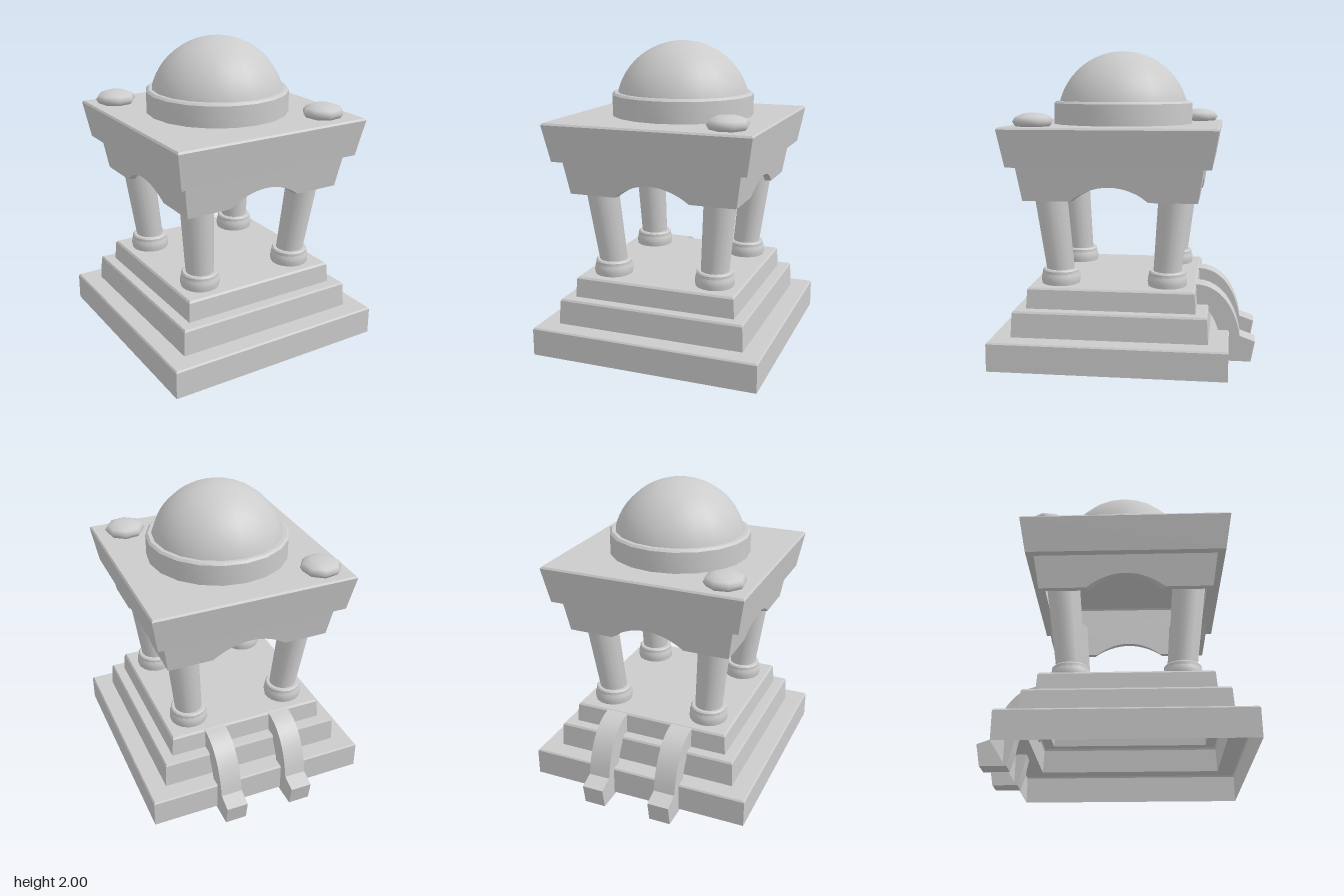
import * as THREE from 'three';
import { toCreasedNormals } from 'three/addons/utils/BufferGeometryUtils.js';

const material = new THREE.MeshStandardMaterial({ color: 0xcccccc, side: THREE.DoubleSide });
const CX = -0.005, CZ = 0.085; // axis of the pavilion

function part(name, geometry, parent, x = 0, y = 0, z = 0) {
  const mesh = new THREE.Mesh(geometry, material);
  mesh.name = name;
  mesh.position.set(x, y, z);
  parent.add(mesh);
  return mesh;
}

// Turned profile of [radius, y] pairs, with sharp creases
function turned(profile, sides, crease = 0.5) {
  const points = profile.map(([r, y]) => new THREE.Vector2(r, y));
  return toCreasedNormals(new THREE.LatheGeometry(points, sides), crease);
}

// Square shell from [half width, y] pairs
function squareShell(profile) {
  const geometry = turned(profile.map(([h, y]) => [h * Math.SQRT2, y]), 4, 0.1);
  return geometry.rotateY(Math.PI / 4);
}

// Arched wall panel, leaning outwards and mitred at its ends
function archPanel() {
  const top = 0.58, low = 1.065, high = 1.285, thick = 0.04;
  const shape = new THREE.Shape();
  shape.moveTo(-top, low);
  shape.lineTo(-0.265, low);
  shape.quadraticCurveTo(0, 1.25, 0.265, low);
  shape.lineTo(top, low);
  shape.lineTo(top, high);
  shape.lineTo(-top, high);
  shape.closePath();
  const geometry = new THREE.ExtrudeGeometry(shape, { depth: thick, bevelEnabled: false, curveSegments: 14 });
  const p = geometry.attributes.position;
  for (let i = 0; i < p.count; i++) {
    const y = p.getY(i);
    const half = 0.546 + (y - low) * 0.16 - (thick - p.getZ(i));
    p.setX(i, p.getX(i) * half / top);
    p.setZ(i, half);
  }
  return toCreasedNormals(geometry, 0.5);
}

// Curved bracket running down the steps to a block foot, drawn as (-z, y)
function bracketGeometry(width) {
  const shape = new THREE.Shape();
  shape.moveTo(0.44, 0.505);
  shape.bezierCurveTo(0.6, 0.505, 0.70, 0.36, 0.73, 0.17);
  shape.lineTo(0.828, 0.135);
  shape.lineTo(0.803, 0);
  shape.lineTo(0.64, 0);
  shape.lineTo(0.61, 0.1);
  shape.bezierCurveTo(0.59, 0.26, 0.53, 0.37, 0.45, 0.37);
  shape.closePath();
  const geometry = new THREE.ExtrudeGeometry(shape, { depth: width, bevelEnabled: false, curveSegments: 10 });
  geometry.translate(0, 0, -width / 2).rotateY(Math.PI / 2);
  return toCreasedNormals(geometry, 0.5);
}

export function createModel() {
  const model = new THREE.Group();
  model.name = 'domedPavilion';

  // Stepped base, open underneath
  part('steppedBase', squareShell([
    [0.745, 0.02], [0.745, 0.195], [0.737, 0.205],
    [0.62, 0.205], [0.612, 0.36], [0.604, 0.372],
    [0.538, 0.372], [0.53, 0.495], [0.52, 0.507], [0, 0.507],
  ]), model, CX, 0, CZ);

  // Leaning columns on round bases
  const baseGeometry = turned([
    [0, 0.49], [0.12, 0.49], [0.127, 0.53], [0.125, 0.56], [0.118, 0.575],
    [0.118, 0.594], [0.11, 0.603], [0, 0.603],
  ], 18);
  for (const sx of [-1, 1]) {
    for (const sz of [-1, 1]) {
      const column = new THREE.Group();
      column.name = `${sz > 0 ? 'front' : 'back'}${sx > 0 ? 'Left' : 'Right'}Column`;
      column.position.set(CX + sx * 0.35, 0, CZ + sz * 0.347);
      model.add(column);
      part('columnBase', baseGeometry, column);
      const shaft = new THREE.CylinderGeometry(0.109, 0.09, 0.65, 18).translate(0, 0.915, 0);
      const lean = 0.1;
      const p = shaft.attributes.position;
      for (let i = 0; i < p.count; i++) {
        const shift = (p.getY(i) - 0.59) * lean;
        p.setX(i, p.getX(i) + sx * shift);
        p.setZ(i, p.getZ(i) + sz * shift);
      }
      part('columnShaft', shaft, column);
    }
  }

  // Arched walls below the roof
  const panel = archPanel();
  for (let i = 0; i < 4; i++) {
    part('archedWall', panel, model, CX, 0, CZ).rotation.y = i * Math.PI / 2;
  }

  // Flared roof block, hollow below
  part('roofBlock', squareShell([
    [0.55, 1.28], [0.63, 1.28], [0.671, 1.513], [0.662, 1.525], [0, 1.525],
  ]), model, CX, 0, CZ);

  // Drum and dome
  part('domeDrum', turned([
    [0, 1.505], [0.463, 1.505], [0.463, 1.66], [0.448, 1.674], [0.41, 1.674],
  ], 20), model, -0.007, 0, 0.07);
  part('dome', new THREE.SphereGeometry(0.44, 20, 12, 0, Math.PI * 2, 0, 1.35), model, -0.007, 1.56, 0.07);

  // Flattened knobs on two opposite roof corners
  for (const [x, z] of [[0.465, 0.573], [-0.5, -0.422]]) {
    const knob = part('roofKnob', new THREE.SphereGeometry(0.134, 8, 6), model, x, 1.556, z);
    knob.scale.y = 0.41;
    knob.rotation.y = -0.22;
  }

  // Pair of curved brackets at the back
  const bracket = bracketGeometry(0.143);
  for (const x of [-0.236, 0.228]) part('backBracket', bracket, model, x, 0, 0);

  return model;
}
